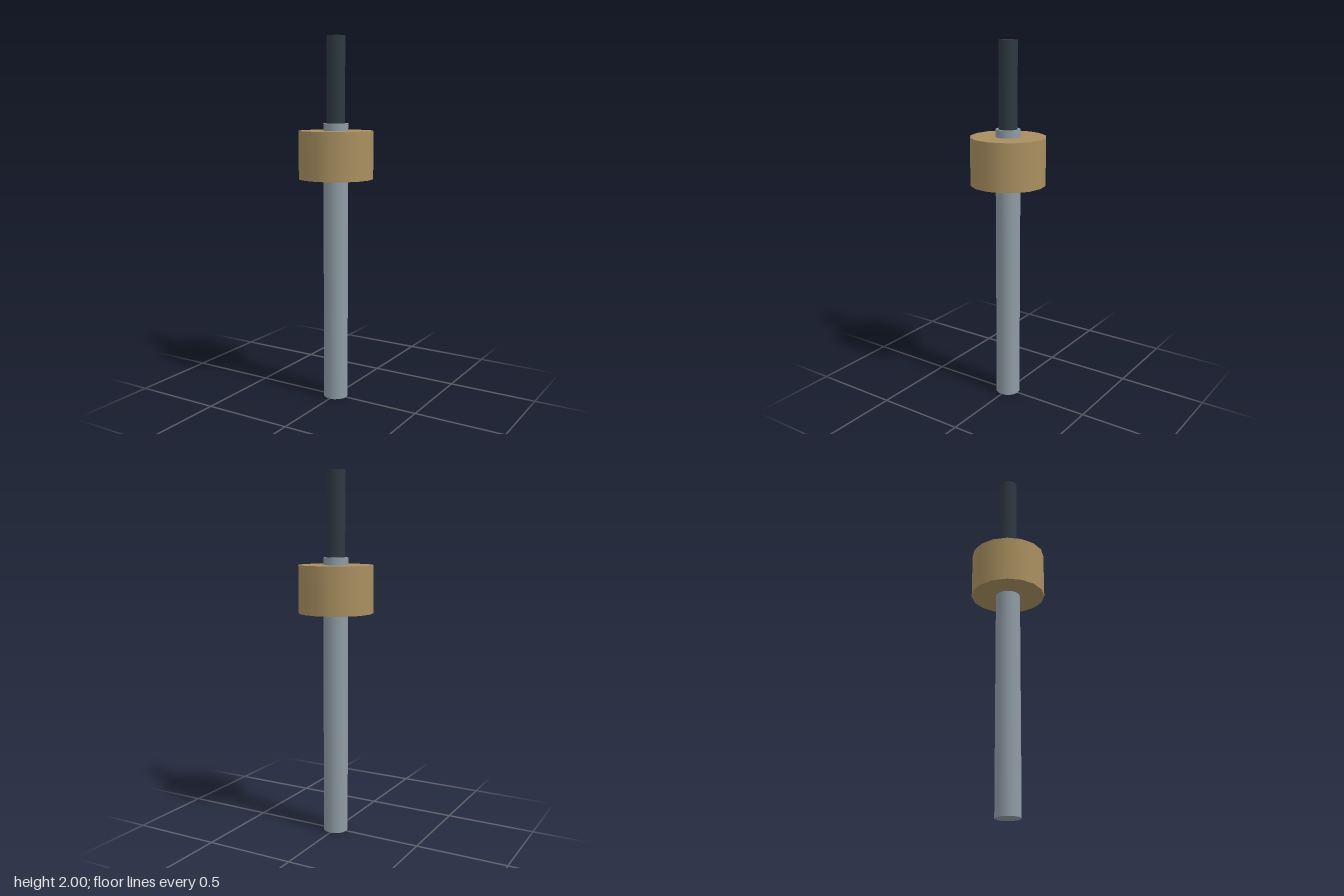
import * as THREE from 'three';

const SIDES = 16;

// Upright round part spanning y0..y1
function addCylinder(group, name, radius, y0, y1, color) {
  const mesh = new THREE.Mesh(
    new THREE.CylinderGeometry(radius, radius, y1 - y0, SIDES),
    new THREE.MeshStandardMaterial({ color })
  );
  mesh.name = name;
  mesh.position.y = (y0 + y1) / 2;
  group.add(mesh);
}

export function createModel() {
  const group = new THREE.Group();
  group.name = 'collaredShaft';

  // Steel shaft, passing through the collar and ending just above it
  addCylinder(group, 'shaft', 0.068, 0, 1.54, 0x8f9ba5);
  // Wide brass collar
  addCylinder(group, 'collar', 0.205, 1.24, 1.5, 0xa88f60);
  // Thin dark rod standing on the shaft
  addCylinder(group, 'upperRod', 0.051, 1.54, 2, 0x2e3842);

  return group;
}
